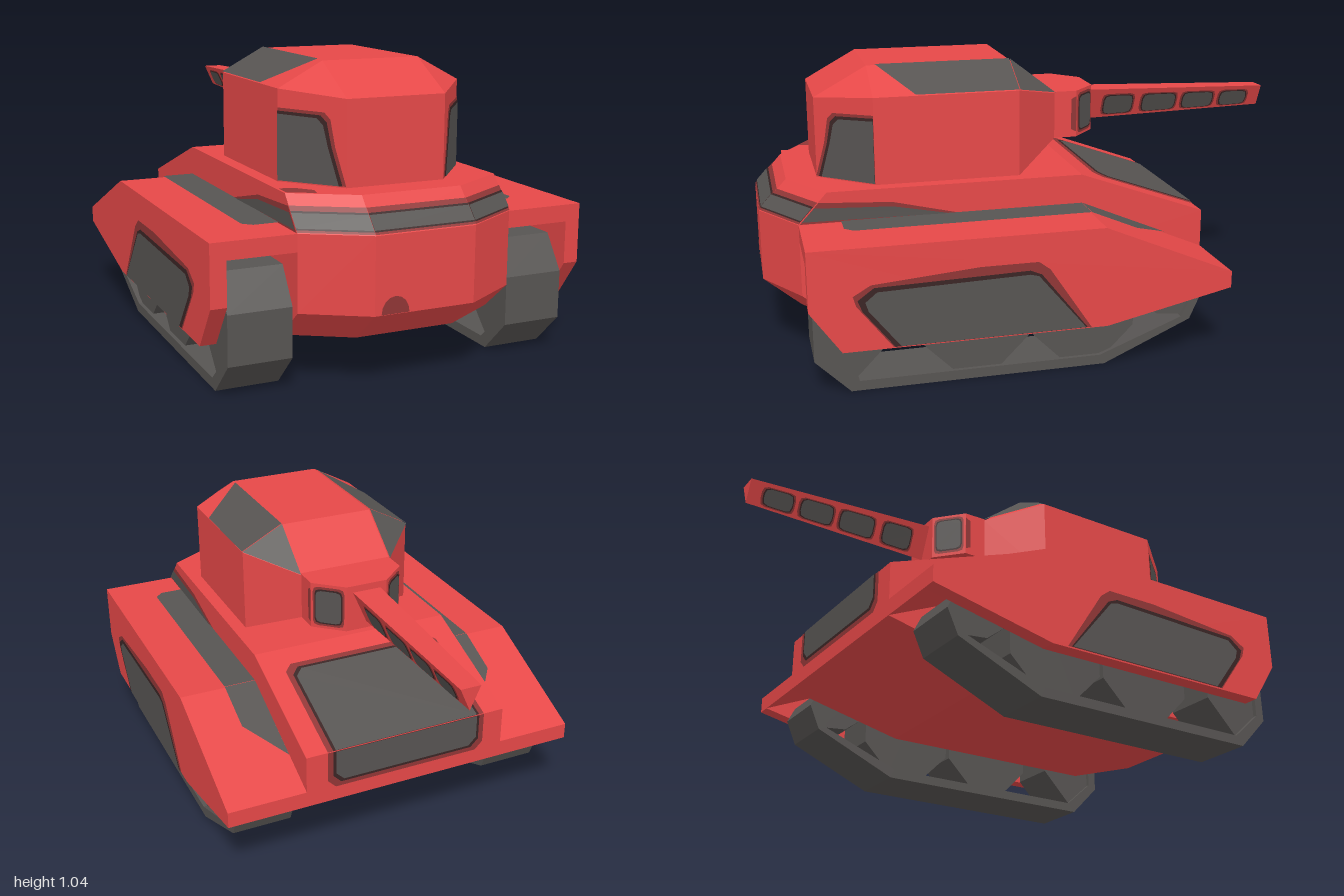
import * as THREE from 'three';
import { ConvexGeometry } from 'three/addons/geometries/ConvexGeometry.js';

const flat = (name, color) => {
  const m = new THREE.MeshStandardMaterial({ color, flatShading: true });
  m.name = name;
  return m;
};
const V = (p) => new THREE.Vector3(...p);

export function createModel() {
  const model = new THREE.Group();
  model.name = 'tank';
  const red = flat('red paint', 0xe64848);
  const grey = flat('dark grey', 0x575452);
  const darkRed = flat('dark red trim', 0x903636);
  const black = flat('near black outline', 0x3a2525);

  const add = (name, geometry, material) => {
    const mesh = new THREE.Mesh(geometry, material);
    mesh.name = name;
    model.add(mesh);
  };

  // Faceted solid from corner points [x, y, z], each mirrored across x = 0
  const solid = (name, corners, material) =>
    add(name, new ConvexGeometry(corners.flatMap(([x, y, z]) => (x ? [V([x, y, z]), V([-x, y, z])] : [V([x, y, z])]))), material);

  // Side profile of [z, y] points extruded from x0 to x1; a hole must wind the other way
  const profile = (name, points, x0, x1, material, hole) => {
    const shape = new THREE.Shape(points.map((p) => new THREE.Vector2(...p)));
    if (hole) shape.holes.push(new THREE.Path(hole.map((p) => new THREE.Vector2(...p))));
    const g = new THREE.ExtrudeGeometry(shape, { depth: x1 - x0, bevelEnabled: false });
    g.rotateY(-Math.PI / 2).translate(x1, 0, 0);
    add(name, g, material);
  };

  // Painted convex panel lying just above a surface that faces "out"
  const panel = (name, corners, out, material = grey, lift = 0.005, round = 0) => {
    let pts = corners.map(V);
    if (round) {
      pts = pts.flatMap((p, i) => {
        const a = pts[(i + pts.length - 1) % pts.length], b = pts[(i + 1) % pts.length];
        const toward = (q) => p.clone().add(q.clone().sub(p).setLength(round));
        const s = toward(a), e = toward(b);
        const mid = s.clone().add(e).multiplyScalar(0.25).addScaledVector(p, 0.5);
        return [s, mid, e];
      });
    }
    const n = new THREE.Vector3();
    pts.forEach((p, i) => n.add(p.clone().cross(pts[(i + 1) % pts.length])));
    n.normalize();
    if (n.dot(V(out)) < 0) { pts.reverse(); n.negate(); }
    pts.forEach((p) => p.addScaledVector(n, lift));
    const pos = [];
    for (let i = 1; i < pts.length - 1; i++) {
      for (const p of [pts[0], pts[i], pts[i + 1]]) pos.push(p.x, p.y, p.z);
    }
    const g = new THREE.BufferGeometry();
    g.setAttribute('position', new THREE.Float32BufferAttribute(pos, 3));
    g.computeVertexNormals();
    add(name, g, material);
  };

  // Panel over a near black outline and a wider dark red border
  const framed = (name, corners, out, round, grow) => {
    const c = corners.reduce((s, p) => s.add(V(p)), new THREE.Vector3()).divideScalar(corners.length);
    const grown = (by) => corners.map((p) => {
      const d = V(p).sub(c);
      return c.clone().add(d.setLength(d.length() + by)).toArray();
    });
    panel(name + 'Border', grown(grow), out, darkRed, 0.002, round);
    panel(name + 'Outline', grown(grow * 0.4), out, black, 0.0035, round);
    panel(name, corners, out, grey, 0.005, round);
  };

  // Hull
  solid('hull', [
    [0.39, 0.64, 0.775], [0.18, 0.64, 0.9], [0.39, 0.64, -0.14],
    [0.39, 0.53, 0.875], [0.18, 0.53, 1], [0.39, 0.27, 0.875], [0.18, 0.27, 1],
    [0.39, 0.16, 0.745], [0.18, 0.16, 0.87], [0.39, 0.16, -0.15],
    [0.39, 0.47, -0.61], [0.39, 0.27, -0.61],
  ], red);

  // Rear deck hatch on the sloping plate, folding down over the tail
  const hatch = (x, z, y, material, lift) => {
    const deckY = 0.64 + (z + 0.14) * 0.17 / 0.47;
    panel('rearDeckPanel', [[x, 0.47, -0.61], [x, deckY - 0.012, z - 0.03], [x - 0.03, deckY, z],
      [0.03 - x, deckY, z], [-x, deckY - 0.012, z - 0.03], [-x, 0.47, -0.61]], [0, 1, -0.4], material, lift);
    panel('tailPanel', [[x, 0.47, -0.61], [x, y + 0.03, -0.61], [x - 0.03, y, -0.61],
      [0.03 - x, y, -0.61], [-x, y + 0.03, -0.61], [-x, 0.47, -0.61]], [0, 0, -1], material, lift);
  };
  hatch(0.31, -0.215, 0.325, darkRed, 0.002);
  hatch(0.29, -0.235, 0.342, black, 0.0035);
  hatch(0.28, -0.245, 0.352, grey, 0.005);

  // Painted band round the front slope
  const frontBand = (y0, y1, material, lift) => {
    const at = (x, y, zLow, zHigh) => [x, y, zLow + (zHigh - zLow) * (y - 0.53) / 0.11];
    const inner = (s, y) => at(0.18 * s, y, 1, 0.9), outer = (s, y) => at(0.39 * s, y, 0.875, 0.775);
    panel('frontBand', [inner(-1, y0), inner(1, y0), inner(1, y1), inner(-1, y1)], [0, 1, 1], material, lift);
    for (const s of [-1, 1]) {
      panel('frontBandCorner', [inner(s, y0), outer(s, y0), outer(s, y1), inner(s, y1)], [s, 1, 1], material, lift);
    }
  };
  frontBand(0.532, 0.605, darkRed, 0.002);
  frontBand(0.538, 0.59, black, 0.0035);
  frontBand(0.542, 0.584, grey, 0.005);

  // Small marks low on the nose and on the front deck
  panel('noseMark', Array.from({ length: 9 }, (_, i) => {
    const a = i * Math.PI / 8;
    return [-0.108 + 0.05 * Math.cos(a), 0.272 + 0.058 * Math.sin(a), 1];
  }), [0, 0, 1], darkRed, 0.002);
  panel('deckMark', [[-0.385, 0.64, 0.71], [-0.33, 0.64, 0.73], [-0.29, 0.64, 0.78], [-0.3, 0.64, 0.825], [-0.385, 0.64, 0.775]],
    [0, 1, 0], darkRed, 0.002);

  // Outer silhouette of the track belt and its inner edge, as [z, y]
  const belt = [[0.74, 0], [-0.16, 0], [-0.48, 0.14], [-0.52, 0.23], [-0.49, 0.29],
    [-0.2, 0.41], [0.78, 0.41], [0.86, 0.29], [0.86, 0.12]];
  const beltInner = belt.map(([z, y]) => [0.17 + (z - 0.17) * 0.95, 0.205 + (y - 0.205) * 0.83]).reverse();

  for (const s of [-1, 1]) {
    const span = (a, b) => (s > 0 ? [a, b] : [-b, -a]);
    const side = (x, points) => points.map(([z, y]) => [s * x, y, z]);

    // Fender roof and hanging side skirt
    profile('fenderTop', [[0.875, 0.53], [-0.14, 0.53], [-0.61, 0.33], [-0.61, 0.27], [-0.16, 0.47], [0.875, 0.47]],
      ...span(0.385, 0.625), red);
    profile('sideSkirt', [[0.875, 0.53], [-0.14, 0.53], [-0.61, 0.33], [-0.61, 0.27], [-0.15, 0.17], [0.77, 0.17], [0.875, 0.32]],
      ...span(0.625, 0.68), red);

    // Track belt, road wheels, and the end wheels that fill the belt's corners
    profile('trackBelt', belt, ...span(0.4, 0.62), grey, beltInner);
    for (const z of [0.3, -0.085]) {
      const r = 0.185 / Math.cos(Math.PI / 8);
      const g = new THREE.CylinderGeometry(r, r, 0.19, 8);
      g.rotateY(Math.PI / 8).rotateZ(Math.PI / 2).translate(s * 0.51, 0.21, z);
      add('roadWheel', g, grey);
    }
    profile('frontWheel', [[0.735, 0.025], [0.6, 0.165], [0.6, 0.31], [0.68, 0.385], [0.77, 0.385], [0.84, 0.28], [0.84, 0.13]],
      ...span(0.415, 0.605), grey);
    profile('rearWheel', [[-0.46, 0.155], [-0.36, 0.165], [-0.29, 0.22], [-0.27, 0.28], [-0.3, 0.345], [-0.47, 0.28], [-0.5, 0.23]],
      ...span(0.415, 0.605), grey);

    // Skirt panel with an uneven border
    panel('skirtPanelBorder', side(0.68, [[0.6, 0.174], [0.72, 0.33], [0.73, 0.365], [0.67, 0.4], [0.3, 0.43], [0.1, 0.43], [0.06, 0.4], [-0.09, 0.174]]),
      [s, 0, 0], darkRed, 0.002);
    panel('skirtPanelOutline', side(0.68, [[0.595, 0.175], [0.7, 0.31], [0.715, 0.35], [0.66, 0.39], [0.13, 0.402], [0.09, 0.385], [-0.076, 0.175]]),
      [s, 0, 0], black, 0.0035);
    panel('skirtPanel', side(0.68, [[0.575, 0.176], [0.68, 0.31], [0.69, 0.342], [0.65, 0.375], [0.13, 0.388], [0.1, 0.38], [-0.07, 0.176]]),
      [s, 0, 0]);

    // Fender top strip, continuing down the rear slope
    const slopeY = (z) => 0.53 + (z + 0.14) * 0.2 / 0.47;
    panel('fenderStrip', [[0.392, 0.73], [0.48, 0.73], [0.51, 0.7], [0.51, -0.14], [0.392, -0.14]]
      .map(([x, z]) => [s * x, 0.53, z]), [0, 1, 0]);
    panel('fenderStripRear', [[0.392, -0.14], [0.51, -0.14], [0.51, -0.31], [0.392, -0.46]]
      .map(([x, z]) => [s * x, slopeY(z), z]), [0, 1, 0]);

    // Tapered end of the painted band on the hull side
    panel('hullSideBandBorder', side(0.39, [[0.87, 0.532], [0.805, 0.605], [0.55, 0.59], [0.31, 0.532]]), [s, 0, 0], darkRed, 0.002);
    panel('hullSideBand', side(0.39, [[0.865, 0.54], [0.82, 0.587], [0.55, 0.575], [0.35, 0.535]]), [s, 0, 0]);

    // Turret roof side panels
    panel('roofSidePanel', [[s * 0.18, 1.035, 0.08], [s * 0.34, 0.95, 0.08], [s * 0.34, 0.95, 0.45], [s * 0.18, 1.035, 0.57]],
      [s, 1, 0]);
    panel('roofCornerPanel', [[s * 0.18, 1.035, 0.08], [s * 0.34, 0.95, 0.08], [s * 0.18, 0.9, -0.095]], [s, 1, -1]);

    // Turret front corner windows
    const corner = (t, y) => [s * (0.34 - 0.16 * t), y, 0.6 + 0.19 * t];
    const cornerWindow = (d, material, lift) => panel('cornerWindow', [corner(0, 0.645), corner(0.9 + d, 0.645),
      corner(0.74 + d, 0.77), corner(0.67 + d, 0.84 + d * 0.2), corner(0.58 + d, 0.862 + d * 0.2), corner(0, 0.868 + d * 0.2)],
    [s, 0, 1], material, lift);
    cornerWindow(0.1, darkRed, 0.002);
    cornerWindow(0.05, black, 0.0035);
    cornerWindow(0, grey, 0.005);

    // Mantlet vision panels
    const cheek = (t, y) => [s * (0.18 - 0.1 * t), y, -0.18 - 0.09 * t];
    framed('mantletPanel', [cheek(0.14, 0.755), cheek(0.86, 0.755), cheek(0.86, 0.88), cheek(0.14, 0.88)],
      [s, 0, -1], 0.02, 0.018);
    panel('mantletSideTrim', side(0.18, [[-0.18, 0.75], [-0.16, 0.76], [-0.16, 0.875], [-0.18, 0.885]]), [s, 0, 0], darkRed, 0.002);

    // Barrel vents on the sloping undersides; t runs up from the keel to the top edge
    const under = (z, t) => {
      const k = (-0.27 - z) / 0.73;
      const low = 0.755 + 0.02 * k, high = 0.88 - 0.022 * k;
      return [s * (0.055 - 0.018 * k) * t, low + (high - low) * t, z];
    };
    for (const [z0, z1] of [[-0.34, -0.455], [-0.5, -0.635], [-0.67, -0.795], [-0.83, -0.94]]) {
      framed('barrelVent', [under(z0, 0.14), under(z1, 0.14), under(z1, 0.78), under(z0, 0.78)],
        [s, -0.4, 0], 0.022, 0.013);
    }
  }

  // Turret
  solid('turret', [
    [0.34, 0.64, 0.6], [0.34, 0.64, 0.08], [0.18, 0.64, 0.79], [0.18, 0.73, -0.095],
    [0.34, 0.95, 0.6], [0.34, 0.95, 0.08], [0.18, 0.93, 0.79], [0.18, 0.9, -0.095],
    [0.18, 1.035, 0.6], [0.18, 1.035, 0.08],
  ], red);

  // Gun mantlet, and a tapered barrel with a keel along its underside
  solid('mantlet', [0.73, 0.905].flatMap((y) => [[0.18, y, -0.08], [0.18, y, -0.18], [0.08, y, -0.27]]), red);
  solid('barrel', [
    [0.055, 0.88, -0.26], [0, 0.755, -0.26], [0.037, 0.858, -1], [0, 0.775, -1],
  ], red);

  return model;
}
